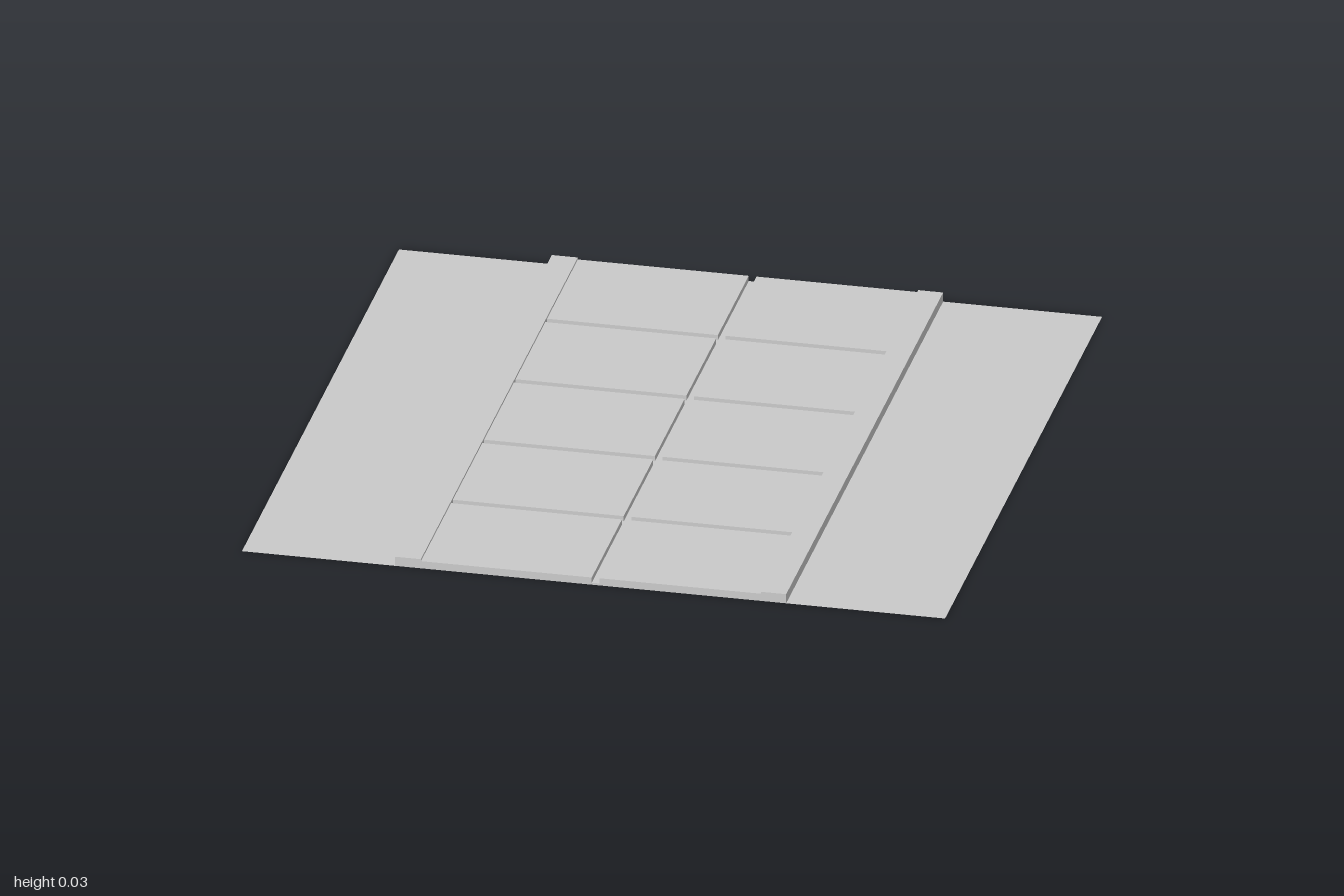
import * as THREE from 'three';

// Grid lines across (x) and along (z) the strip
const xs = [-1, -0.565, -0.491, -0.005, 0.017, 0.477, 0.548, 1];
const jointCentres = [-0.596, -0.195, 0.206, 0.604];
const zs = [-1, ...jointCentres.flatMap(z => [z - 0.011, z + 0.011]), 1];

const heights = { ground: 0, kerbs: 0.028, pavingSlabs: 0.022, joints: 0.006 };

// Which part a grid cell belongs to; null lies outside the model
function partAt(i, j) {
  if (i < 0 || j < 0 || i > xs.length - 2 || j > zs.length - 2) return null;
  if (i === 0 || i === 6) return 'ground';
  if (i === 1 || i === 5) return 'kerbs';
  return i === 3 || j % 2 === 1 ? 'joints' : 'pavingSlabs';
}

export function createModel() {
  const group = new THREE.Group();
  const points = Object.fromEntries(Object.keys(heights).map(k => [k, []]));
  const quad = (part, a, b, c, d) => points[part].push(...a, ...b, ...c, ...a, ...c, ...d);

  for (let i = 0; i < xs.length - 1; i++) {
    for (let j = 0; j < zs.length - 1; j++) {
      const part = partAt(i, j), h = heights[part];
      const [x0, x1, z0, z1] = [xs[i], xs[i + 1], zs[j], zs[j + 1]];

      // Top face
      quad(part, [x0, h, z0], [x0, h, z1], [x1, h, z1], [x1, h, z0]);

      // Walls down to each lower neighbour, or to the ground at the ends
      const sides = [
        [1, 0, x1, z1, x1, z0], [-1, 0, x0, z0, x0, z1],
        [0, 1, x0, z1, x1, z1], [0, -1, x1, z0, x0, z0],
      ];
      for (const [di, dj, ax, az, bx, bz] of sides) {
        const neighbour = partAt(i + di, j + dj);
        const low = neighbour ? heights[neighbour] : 0;
        if (low < h) quad(part, [ax, low, az], [bx, low, bz], [bx, h, bz], [ax, h, az]);
      }
    }
  }

  // One mesh per part; the sheet is open underneath
  const material = new THREE.MeshStandardMaterial({ color: 0xcccccc, side: THREE.DoubleSide });
  for (const [name, list] of Object.entries(points)) {
    const geometry = new THREE.BufferGeometry();
    geometry.setAttribute('position', new THREE.Float32BufferAttribute(list, 3));
    geometry.computeVertexNormals();
    const mesh = new THREE.Mesh(geometry, material);
    mesh.name = name;
    group.add(mesh);
  }
  return group;
}
